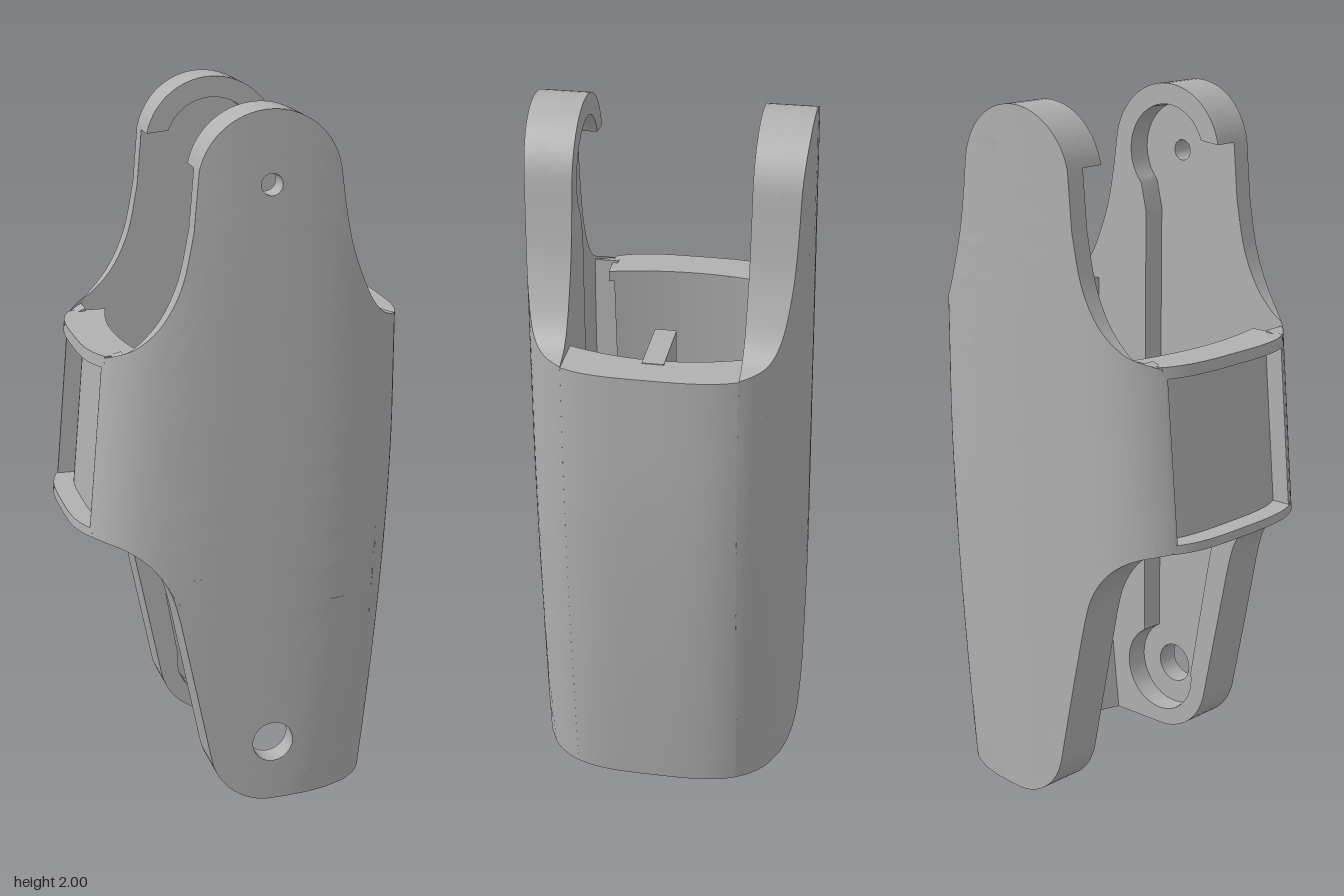
import * as THREE from 'three';
import { toCreasedNormals } from 'three/addons/utils/BufferGeometryUtils.js';

const HALF = 0.47, DEPTH = 0.38, N = 3.4;   // barrel cross-section
const INNER = 0.24, FLOOR = 0.31;           // inner faces of rim and pocket
const P = (x, y) => new THREE.Vector2(x, y);

// Outer edges of the barrel in x at a given height
const rightEdge = y => 0.472 - 0.082 * Math.pow(Math.max(0, 1.1 - y) / 1.1, 1.6);
const leftEdge = y => -0.475 + 0.087 * (y - 0.83);
// How far the barrel surface curves in from its edge at depth z
const inset = z => HALF * (1 - Math.pow(1 - Math.pow(Math.abs(z) / DEPTH, N), 1 / N));
// Outer depth of the barrel at a point of a side plate
function outerZ(x, y) {
  const e = Math.min(rightEdge(y) - x, x - leftEdge(y), HALF);
  const t = Math.min(1, 1 - e / HALF);
  return Math.max(INNER, DEPTH * Math.pow(1 - Math.pow(t, N), 1 / N));
}

function arc(cx, cy, r, from, to, n = 20) {
  return Array.from({ length: n + 1 }, (_, i) => {
    const a = THREE.MathUtils.degToRad(from + (to - from) * i / n);
    return P(cx + r * Math.cos(a), cy + r * Math.sin(a));
  });
}
const spline = (...pts) => new THREE.SplineCurve(pts.map(p => P(...p))).getPoints(pts.length * 4);

// Cuts triangles along an axis-aligned plane
function slice(tris, axis, value) {
  const out = [];
  for (const t of tris) {
    const d = t.map(v => v[axis] - value);
    if (Math.max(...d) < 1e-5 || Math.min(...d) > -1e-5) { out.push(t); continue; }
    const sides = [[], []];
    for (let i = 0; i < 3; i++) {
      const j = (i + 1) % 3;
      if (d[i] <= 0) sides[0].push(t[i]);
      if (d[i] >= 0) sides[1].push(t[i]);
      if (d[i] * d[j] < 0) {
        const m = t[i].clone().lerp(t[j], d[i] / (d[i] - d[j]));
        sides[0].push(m);
        sides[1].push(m);
      }
    }
    for (const s of sides)
      for (let k = 1; k + 1 < s.length; k++) out.push([s[0], s[k], s[k + 1]]);
  }
  return out;
}

// Extrudes a shape between two depth rules; side is +1 or -1 in z
function layer(shape, low, high, side) {
  const pos = new THREE.ExtrudeGeometry(shape, { depth: 1, bevelEnabled: false }).toNonIndexed().attributes.position;
  let tris = [];
  for (let i = 0; i < pos.count; i += 3)
    tris.push([0, 1, 2].map(k => new THREE.Vector3().fromBufferAttribute(pos, i + k)));
  for (let x = -0.44; x < 0.46; x += Math.abs(x) > 0.26 ? 0.02 : 0.06) tris = slice(tris, 'x', x);
  for (let y = 0.1; y < 2; y += 0.1) tris = slice(tris, 'y', y);
  const verts = [];
  for (const t of tris) {
    const q = t.map(v => new THREE.Vector3(v.x, v.y, side * (v.z < 0.5 ? low : high)(v.x, v.y)));
    if (side < 0) q.reverse();
    if (new THREE.Triangle(...q).getArea() < 1e-9) continue;
    q.forEach(v => verts.push(v.x, v.y, v.z));
  }
  const geo = new THREE.BufferGeometry();
  geo.setAttribute('position', new THREE.Float32BufferAttribute(verts, 3));
  return toCreasedNormals(geo, 0.6);
}

// Curved upright wall between two x rules
function wall(y0, y1, halfZ, minX, maxX) {
  const geo = new THREE.BoxGeometry(1, 1, 1, 1, 16, 20);
  const p = geo.attributes.position;
  for (let i = 0; i < p.count; i++) {
    const y = y0 + (p.getY(i) + 0.5) * (y1 - y0), z = p.getZ(i) * 2 * halfZ;
    p.setXYZ(i, (p.getX(i) < 0 ? minX : maxX)(y, z), y, z);
  }
  return toCreasedNormals(geo, 0.6);
}

export function createModel() {
  const group = new THREE.Group();
  const grey = new THREE.MeshStandardMaterial({ color: 0xb0b0b0 });
  grey.name = 'grey';
  const add = (name, geo) => {
    const mesh = new THREE.Mesh(geo, grey);
    mesh.name = name;
    group.add(mesh);
  };

  // Side outline from the upper left, over the top, down the right and round the bottom
  const rightSide = Array.from({ length: 15 }, (_, i) => {
    const y = 1.38 * (1 - i / 14);
    return P(rightEdge(y) - 0.031, y);
  });
  const around = [
    ...arc(0.04, 1.8, 0.2, 168, 12, 28),
    ...spline([0.25, 1.74], [0.27, 1.64], [0.3, 1.55], [0.34, 1.465], [0.385, 1.415], [0.441, 1.392]),
    ...rightSide,
    ...arc(0.05, 0.18, 0.18, 270, 190),
    ...spline([-0.215, 0.58], [-0.24, 0.665], [-0.29, 0.74], [-0.36, 0.79], [leftEdge(0.812) + 0.035, 0.812]),
    P(leftEdge(1.32) + 0.035, 1.32),
  ];
  const outline = [
    ...around,
    ...spline([-0.37, 1.335], [-0.315, 1.365], [-0.25, 1.435], [-0.2, 1.54], [-0.17, 1.68]),
  ];
  // Rim: the outline with a pocket that opens to the upper left
  const rim = [
    ...around,
    P(-0.345, 1.335),
    ...spline([-0.345, 0.88], [-0.29, 0.84], [-0.22, 0.77], [-0.165, 0.68], [-0.14, 0.58]),
    ...arc(0.055, 0.18, 0.13, 170, 420, 28),
    P(0.12, 1.62),
    ...arc(0.04, 1.8, 0.14, -45, 160, 24),
  ];

  for (const side of [1, -1]) {
    const label = side > 0 ? 'front' : 'back';
    const plate = new THREE.Shape(outline);
    // Pin holes pass through the front plate only
    if (side > 0) {
      plate.holes.push(new THREE.Path(arc(0.04, 1.8, 0.03, 0, 345, 23)));
      plate.holes.push(new THREE.Path(arc(0.055, 0.18, 0.06, 0, 345, 23)));
    }
    const floor = (x, y) => Math.min(FLOOR, outerZ(x, y));
    add(label + 'Plate', layer(plate, floor, outerZ, side));
    add(label + 'Rim', layer(new THREE.Shape(rim), () => INNER, floor, side));
  }

  // Tall curved wall joining the plates
  add('spineWall', wall(0, 1.39, INNER,
    (y, z) => rightEdge(y) - 0.115 - 0.045 * (z / INNER) ** 2,
    (y, z) => rightEdge(y) - inset(z)));

  // Recessed panel on the opposite side, with a lip above and below
  const panelInner = (y, z) => leftEdge(y) + 0.115 + 0.03 * (z / INNER) ** 2;
  const lipOuter = (y, z) => leftEdge(y) + inset(z);
  add('recessedPanel', wall(0.815, 1.325, INNER, (y, z) => lipOuter(y, z) + 0.06, panelInner));
  add('upperLip', wall(1.295, 1.328, 0.255, lipOuter, panelInner));
  add('lowerLip', wall(0.81, 0.835, 0.255, lipOuter, panelInner));

  // Stop rib inside the wall
  const rib = new THREE.BoxGeometry(0.2, 0.2, 0.06);
  rib.translate(0.28, 1.292, 0);
  add('stopRib', rib);

  return group;
}
